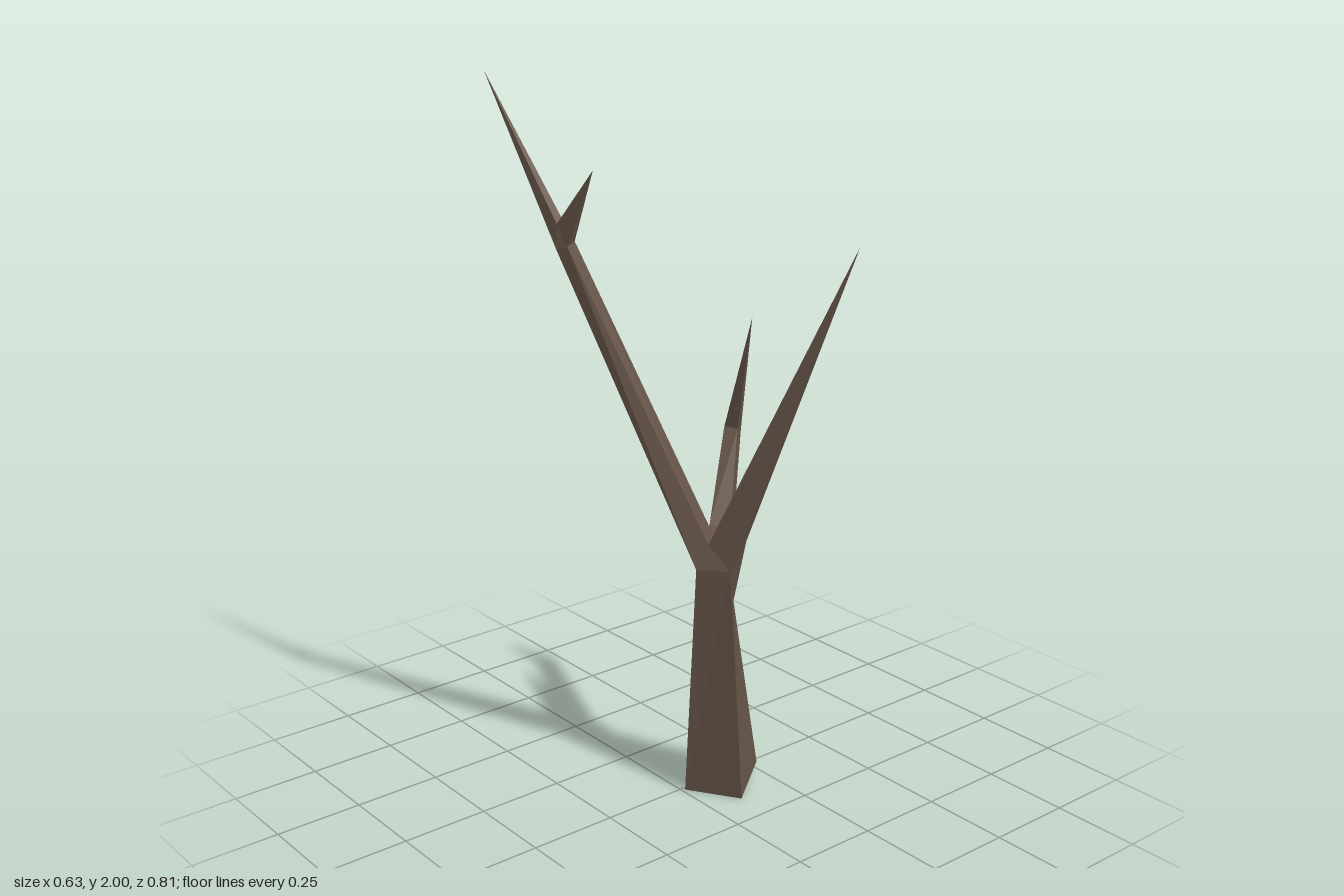
import * as THREE from 'three';

const bark = new THREE.MeshStandardMaterial({ color: 0x67554a, flatShading: true });

// Builds a faceted mesh from polygons, each a list of [x, y, z] corners
function facets(name, polygons) {
  const pos = [];
  for (const p of polygons) {
    for (let i = 1; i < p.length - 1; i++) pos.push(...p[0], ...p[i], ...p[i + 1]);
  }
  const geo = new THREE.BufferGeometry();
  geo.setAttribute('position', new THREE.Float32BufferAttribute(pos, 3));
  geo.computeVertexNormals();
  const mesh = new THREE.Mesh(geo, bark);
  mesh.name = name;
  return mesh;
}

// Side walls between two matching rings
const walls = (a, b) => a.map((p, i) => {
  const j = (i + 1) % a.length;
  return [p, a[j], b[j], b[i]];
});

// Walls closing from a ring to a point
const spike = (ring, tip) => ring.map((p, i) => [p, ring[(i + 1) % ring.length], tip]);

export function createModel() {
  const tree = new THREE.Group();
  tree.name = 'bareTree';

  // Trunk, cut slanted at the foot and the fork
  const base = [[0.24, 0.03, 0.055], [0.15, 0.025, -0.08], [0.01, 0, 0.01], [0.1, 0, 0.15]];
  const top = [[0.115, 0.58, 0.09], [0.055, 0.58, 0.025], [-0.01, 0.7, 0.08], [0.05, 0.7, 0.15]];
  const [A, B, C, D] = top;
  tree.add(facets('trunk', [...walls(base, top), [...base].reverse()]));

  // Fork corners shared by the three branches
  const E = [0.115, 0.77, 0.14], F = [0.095, 0.79, 0.09], G = [0.02, 0.77, 0.095];
  const H = [0.065, 0.79, 0.05], K = [0.06, 0.72, 0.02];
  const sideRoot = [[0.13, 0.68, 0.06], [0.11, 0.7, 0], [0.105, 0.785, 0], [0.128, 0.76, 0.055]];
  const [S1, S2, S3, S4] = sideRoot;
  tree.add(facets('fork', [
    [A, B, S2, S1], [B, C, K], [C, D, G], [D, A, E],
    [B, K, H, S3, S2], [G, F, H], [H, F, S4, S3], [E, A, S1, S4, F],
  ]));

  // Front branch, a single long spike
  tree.add(facets('frontBranch', spike([D, E, F, G], [0.245, 1.6, 0.405])));

  // Side branch with an upturned twig
  const elbow = [[0.315, 0.98, -0.115], [0.29, 0.98, -0.147], [0.258, 1, -0.12], [0.272, 1, -0.08]];
  tree.add(facets('sideBranch', walls(sideRoot, elbow)));
  tree.add(facets('sideTwig', spike(elbow, [0.286, 1.325, -0.04])));

  // Tall branch splitting into a long and a short twig
  const P1 = [-0.277, 1.57, -0.157], P2 = [-0.25, 1.58, -0.177];
  const P3 = [-0.235, 1.59, -0.135], P4 = [-0.262, 1.58, -0.13];
  const Q1 = [-0.272, 1.635, -0.16], Q2 = [-0.25, 1.645, -0.167];
  tree.add(facets('tallBranch', [
    ...walls([C, G, H, K], [P1, P4, P3, P2]), [P1, P4, Q1], [P3, P2, Q2],
  ]));
  tree.add(facets('longTwig', spike([P2, P1, Q1, Q2], [-0.315, 2, -0.405])));
  tree.add(facets('shortTwig', spike([P4, P3, Q2, Q1], [-0.23, 1.78, -0.06])));

  return tree;
}
